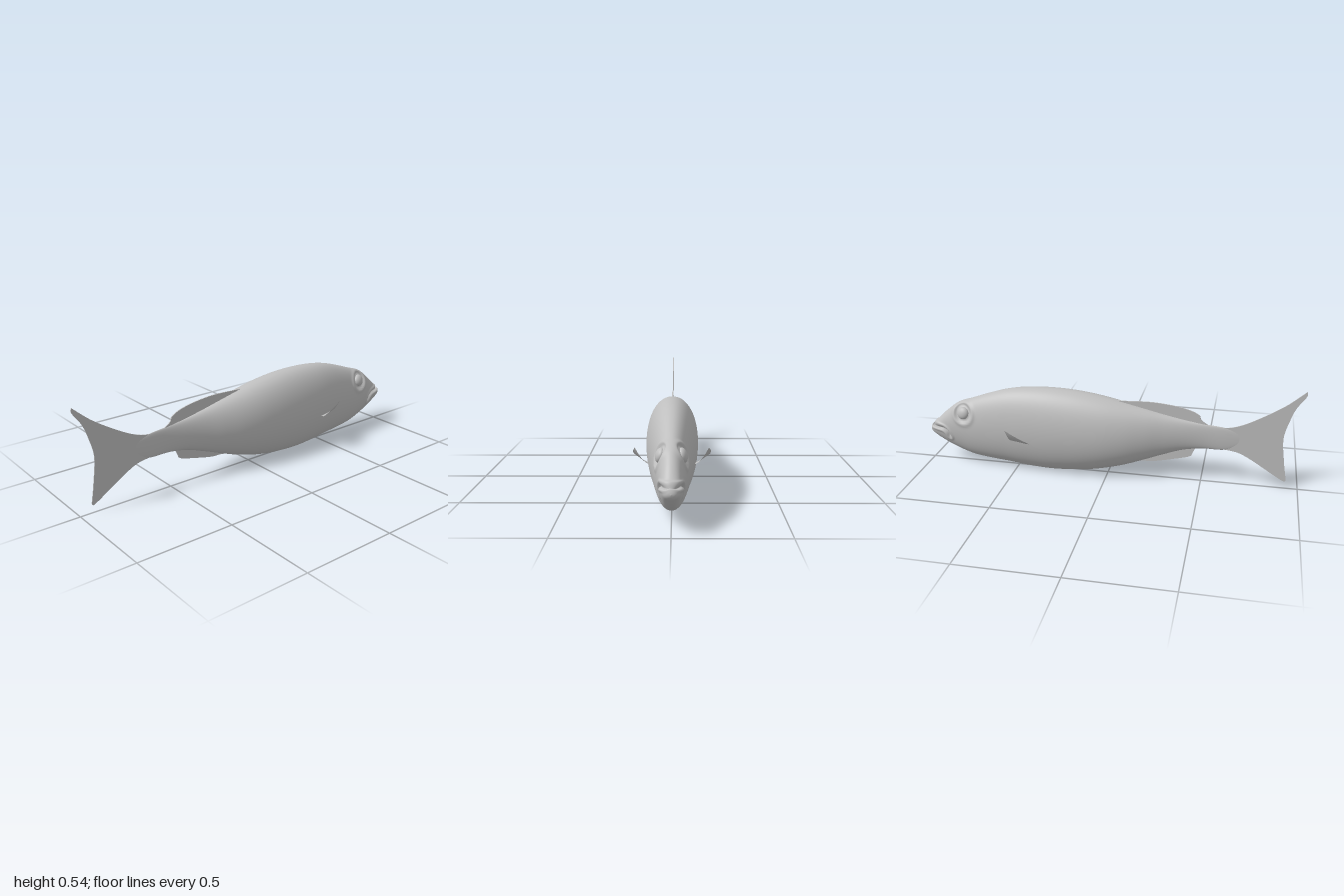
import * as THREE from 'three';

// Body stations: x, top y, bottom y, half width
const stations = [
  [-0.70, 0.285, 0.230, 0.001], [-0.62, 0.312, 0.192, 0.007], [-0.50, 0.326, 0.188, 0.015],
  [-0.40, 0.342, 0.172, 0.030], [-0.30, 0.362, 0.138, 0.052], [-0.20, 0.385, 0.100, 0.080],
  [-0.10, 0.408, 0.064, 0.105], [0.00, 0.430, 0.036, 0.121], [0.10, 0.447, 0.016, 0.128],
  [0.20, 0.458, 0.005, 0.129], [0.32, 0.462, 0.000, 0.125], [0.45, 0.455, 0.008, 0.115],
  [0.55, 0.438, 0.019, 0.103], [0.65, 0.408, 0.028, 0.090], [0.75, 0.372, 0.042, 0.076],
  [0.83, 0.343, 0.068, 0.064], [0.90, 0.290, 0.100, 0.052], [0.95, 0.243, 0.130, 0.044],
  [0.972, 0.222, 0.146, 0.038], [0.988, 0.204, 0.158, 0.029], [0.997, 0.192, 0.170, 0.015],
  [1.00, 0.182, 0.180, 0.001],
];

// Smooth value of one station column at x
function sample(x, col) {
  let i = 0;
  while (i < stations.length - 2 && x > stations[i + 1][0]) i++;
  const slope = (k) => {
    const a = stations[Math.max(k - 1, 0)], b = stations[Math.min(k + 1, stations.length - 1)];
    return (b[col] - a[col]) / (b[0] - a[0]);
  };
  const p = stations[i], q = stations[i + 1], h = q[0] - p[0], t = (x - p[0]) / h;
  const t2 = t * t, t3 = t2 * t;
  return (2 * t3 - 3 * t2 + 1) * p[col] + (t3 - 2 * t2 + t) * h * slope(i)
    + (3 * t2 - 2 * t3) * q[col] + (t3 - t2) * h * slope(i + 1);
}

const bump = (d, s) => Math.exp(-(d * d) / (s * s));
const eye = { x: 0.79, y: 0.298 };
const mouth = new THREE.CatmullRomCurve3([
  [0.876, 0.155], [0.888, 0.180], [0.91, 0.197], [0.94, 0.203], [0.98, 0.209],
].map(([x, y]) => new THREE.Vector3(x, y, 0))).getPoints(40);

// Lofted body with eye sockets and a mouth crease
function bodyGeometry() {
  const rings = 220, sides = 96, pos = [], index = [];
  for (let i = 0; i <= rings; i++) {
    const x = -0.70 + 1.70 * (1 - Math.pow(1 - i / rings, 1.6));
    const top = sample(x, 1), bottom = sample(x, 2), w = Math.max(sample(x, 3), 0.0005);
    const mid = (top + bottom) / 2, h = (top - bottom) / 2;
    for (let j = 0; j < sides; j++) {
      const a = (j / sides) * Math.PI * 2, c = Math.cos(a);
      let y = mid + h * Math.sin(a), z = w * Math.sign(c) * Math.pow(Math.abs(c), 0.95);
      if (x > 0.65) {
        // socket groove and raised rim around each eye
        const r = Math.hypot(x - eye.x, y - eye.y);
        const rim = 0.006 * bump(r - 0.058, 0.011) - 0.009 * bump(r - 0.038, 0.012);
        z += Math.sign(z) * rim * Math.min(1, Math.abs(z) / 0.03);
        // lips: a crease with a ridge on each side
        let d = 1;
        for (const m of mouth) d = Math.min(d, Math.hypot(x - m.x, y - m.y));
        const lip = 0.005 * bump(d - 0.016, 0.007) - 0.013 * bump(d, 0.006);
        const len = Math.hypot(y - mid, z);
        const k = 1 + Math.max(lip, -0.6 * len) / Math.max(len, 0.02);
        y = mid + (y - mid) * k;
        z *= k;
      }
      pos.push(x, y, z);
      if (i < rings) {
        const n = (j + 1) % sides, p = i * sides, q = p + sides;
        index.push(p + j, q + j, p + n, q + j, q + n, p + n);
      }
    }
  }
  const g = new THREE.BufferGeometry();
  g.setAttribute('position', new THREE.Float32BufferAttribute(pos, 3));
  g.setIndex(index);
  g.computeVertexNormals();
  return g;
}

// Thin upright fin from runs of points; each run is a smooth curve
function finGeometry(runs, depth = 0.004) {
  const shape = new THREE.Shape();
  shape.moveTo(...runs[0][0]);
  for (const run of runs) shape.splineThru(run.slice(1).map(([x, y]) => new THREE.Vector2(x, y)));
  return new THREE.ExtrudeGeometry(shape, { depth, bevelEnabled: false, curveSegments: 24 })
    .translate(0, 0, -depth / 2);
}

// Side fin: a narrow root flaring to a wide tip and curling upward
function sideFinGeometry(side) {
  const g = new THREE.PlaneGeometry(1, 1, 12, 12), p = g.attributes.position;
  const mix = THREE.MathUtils.lerp;
  for (let i = 0; i < p.count; i++) {
    const u = p.getX(i) + 0.5, v = p.getY(i) + 0.5;
    const curl = Math.pow(v, 1.5);
    const edge = 0.006 * Math.sin(Math.PI * u) * v;
    p.setXYZ(i,
      mix(mix(0.435, 0.38, curl), mix(0.505, 0.517, v), u),
      mix(mix(0.178, 0.212, v), mix(0.188, 0.271, curl), u),
      side * (mix(0.100, mix(0.183, 0.171, u), Math.pow(v, 0.85)) + edge));
  }
  g.computeVertexNormals();
  return g;
}

export function createModel() {
  const fish = new THREE.Group();
  fish.name = 'fish';
  const grey = new THREE.MeshStandardMaterial({ color: 0xbfbfbf, side: THREE.DoubleSide });
  grey.name = 'plain grey';
  const add = (name, geometry) => {
    const mesh = new THREE.Mesh(geometry, grey);
    mesh.name = name;
    fish.add(mesh);
    return mesh;
  };

  add('body', bodyGeometry());

  add('tailFin', finGeometry([
    [[-0.54, 0.318], [-0.62, 0.314], [-0.70, 0.337], [-0.80, 0.391], [-0.90, 0.456], [-0.97, 0.515], [-0.997, 0.54]],
    [[-0.997, 0.54], [-0.998, 0.515], [-0.955, 0.45], [-0.93, 0.385], [-0.906, 0.28], [-0.92, 0.15], [-0.937, 0.05]],
    [[-0.937, 0.05], [-0.925, 0.04], [-0.85, 0.085], [-0.75, 0.148], [-0.68, 0.181], [-0.60, 0.193], [-0.54, 0.195]],
  ]));

  add('dorsalFin', finGeometry([
    [[0.02, 0.425], [-0.03, 0.419], [-0.10, 0.421], [-0.22, 0.425], [-0.33, 0.416], [-0.42, 0.398],
      [-0.475, 0.373], [-0.49, 0.345], [-0.53, 0.318]],
    [[-0.53, 0.318], [-0.40, 0.325], [-0.20, 0.365], [0.0, 0.41]],
  ], 0.006));

  add('analFin', finGeometry([
    [[-0.47, 0.20], [-0.452, 0.16], [-0.435, 0.136], [-0.35, 0.113], [-0.25, 0.091], [-0.18, 0.086], [-0.10, 0.072]],
    [[-0.10, 0.072], [-0.20, 0.13], [-0.35, 0.185], [-0.45, 0.205]],
  ], 0.006));

  // Paired parts
  for (const [label, side] of [['left', 1], ['right', -1]]) {
    // the model faces +z, so its left is +x; sides here are named from the head
    const part = side > 0 ? 'near' : 'far';
    add(part + 'PectoralFin', sideFinGeometry(side)).userData.pair = label;
    const ball = add(part + 'Eye', new THREE.SphereGeometry(0.033, 32, 20));
    ball.scale.z = 0.6;
    ball.position.set(eye.x, eye.y, side * 0.049);
    ball.rotation.set(-side * 0.3, side * 0.15, 0);
  }
  return fish;
}
